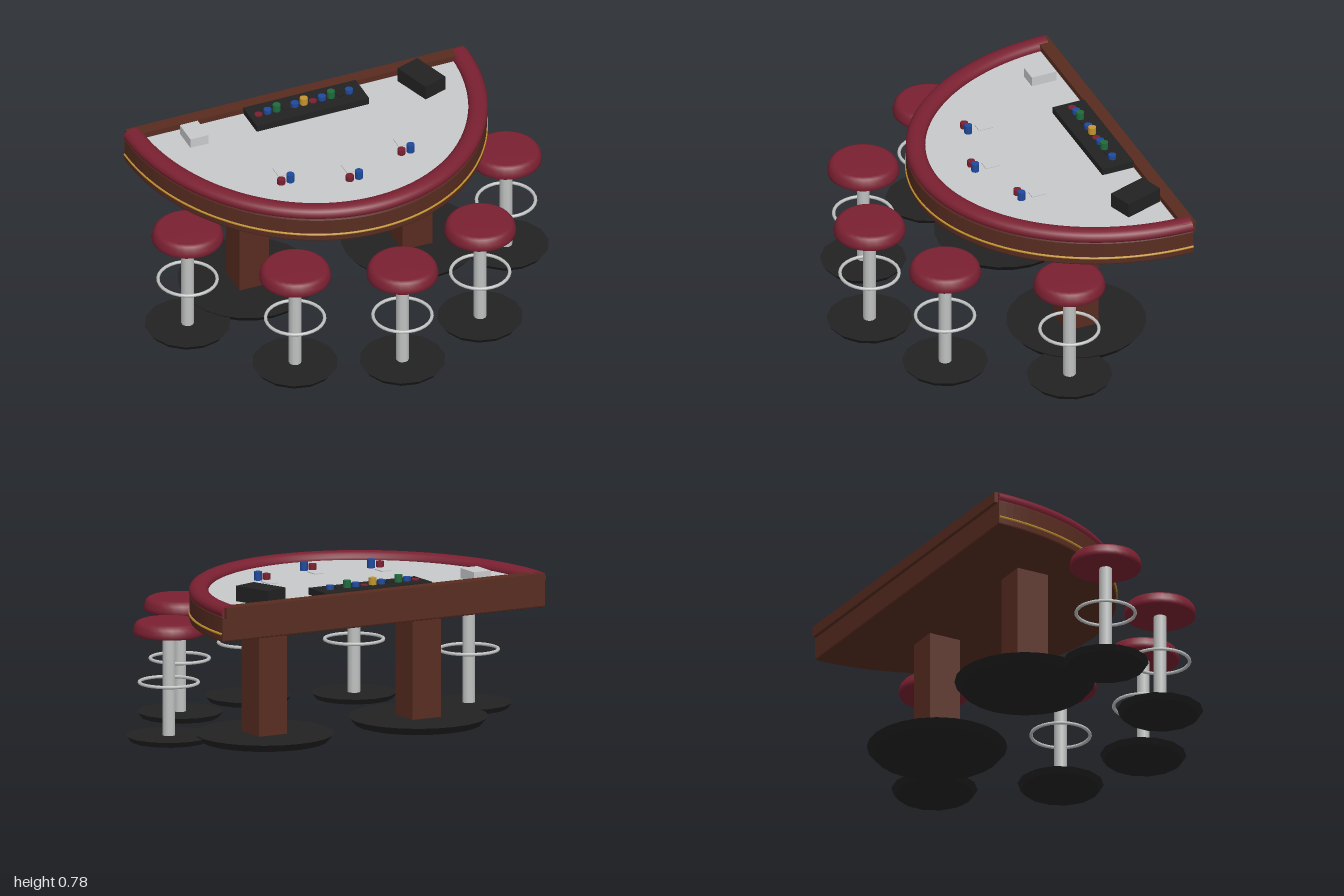
import * as THREE from 'three';

const mat = (name, color, side = THREE.FrontSide) => {
  const m = new THREE.MeshStandardMaterial({ color, side });
  m.name = name;
  return m;
};

export function createModel() {
  const root = new THREE.Group();
  root.name = 'cardTableWithStools';
  const leather = mat('red leather', 0x7a2031);
  const wood = mat('dark wood', 0x582c20);
  const felt = mat('pale felt', 0xc8c9cb);
  const black = mat('black', 0x222222);
  const chrome = mat('chrome', 0xc0c2c2);
  const gold = mat('gold', 0xc4952f);
  const blue = mat('blue', 0x1f4a9c);
  const green = mat('green', 0x1f6b3c);

  const add = (parent, name, geo, material, x = 0, y = 0, z = 0) => {
    const m = new THREE.Mesh(geo, material);
    m.name = name;
    m.position.set(x, y, z);
    parent.add(m);
    return m;
  };

  // Half-ellipse table outline, straight along the back
  const BACK = -0.72;
  const halfOval = (rx, rz, z0 = BACK) => {
    const s = new THREE.Shape();
    s.absellipse(0, z0, rx, rz, 0, Math.PI, false, 0);
    s.closePath();
    return s;
  };
  const slab = (shape, depth, bevel = 0) => {
    const g = new THREE.ExtrudeGeometry(shape, {
      depth: depth - 2 * bevel, curveSegments: 40, bevelEnabled: bevel > 0,
      bevelSize: bevel, bevelThickness: bevel, bevelOffset: -bevel, bevelSegments: 2,
    });
    return g.rotateX(Math.PI / 2).translate(0, -bevel, 0);
  };
  const ovalPath = (rx, rz) => new THREE.CatmullRomCurve3(
    new THREE.EllipseCurve(0, BACK, rx, rz, 0, Math.PI).getPoints(48)
      .map(p => new THREE.Vector3(p.x, 0, p.y)));

  // Table top
  const table = new THREE.Group();
  table.name = 'table';
  root.add(table);
  add(table, 'apron', slab(halfOval(0.86, 1.0), 0.125, 0.008), wood, 0, 0.692, 0);
  add(table, 'feltSurface', slab(halfOval(0.80, 0.93), 0.012), felt, 0, 0.703, 0);
  add(table, 'goldTrim', new THREE.TubeGeometry(ovalPath(0.86, 1.0), 72, 0.006, 6), gold, 0, 0.605, 0);
  const railFlat = 0.033 / 0.046;
  add(table, 'armRail', new THREE.TubeGeometry(ovalPath(0.82, 0.955), 72, 0.046, 14)
    .scale(1, railFlat, 1), leather, 0, 0.707, 0);
  for (const s of [-1, 1]) {
    add(table, 'railEnd', new THREE.CircleGeometry(0.046, 14).scale(1, railFlat, 1)
      .rotateY(Math.PI), leather, s * 0.82, 0.707, BACK);
  }
  add(table, 'backBoard', new THREE.BoxGeometry(1.70, 0.052, 0.063), wood, 0, 0.705, -0.707);

  // Pedestals
  for (const s of [-1, 1]) {
    add(table, 'tableFoot', new THREE.CylinderGeometry(0.325, 0.295, 0.035, 24), black, s * 0.41, 0.0175, -0.328);
    add(table, 'tableLeg', new THREE.BoxGeometry(0.15, 0.54, 0.16), wood, s * 0.41, 0.305, -0.328);
  }

  // Stools around the curved edge
  const seatProfile = [[0, 0], [0.158, 0], [0.166, 0.006], [0.166, 0.022], [0.160, 0.045],
    [0.150, 0.058], [0.135, 0.065], [0, 0.067]].map(p => new THREE.Vector2(...p));
  const seatGeo = new THREE.LatheGeometry(seatProfile, 28);
  const postGeo = new THREE.CylinderGeometry(0.03, 0.03, 0.48, 10);
  const footGeo = new THREE.CylinderGeometry(0.2, 0.18, 0.026, 14);
  const ringGeo = new THREE.TorusGeometry(0.137, 0.008, 8, 28).rotateX(Math.PI / 2);
  for (const [x, z] of [[-0.8, -0.12], [-0.465, 0.36], [0, 0.535], [0.465, 0.36], [0.8, -0.12]]) {
    const stool = new THREE.Group();
    stool.name = 'stool';
    stool.position.set(x, 0, z);
    root.add(stool);
    add(stool, 'seat', seatGeo, leather, 0, 0.5, 0);
    add(stool, 'post', postGeo, chrome, 0, 0.265, 0);
    add(stool, 'footRing', ringGeo, chrome, 0, 0.275, 0);
    add(stool, 'stoolFoot', footGeo, black, 0, 0.013, 0);
  }

  // Chip stacks
  const chips = (material, x, z, bottom, top) => add(table, 'chipStack',
    new THREE.CylinderGeometry(0.019, 0.019, top - bottom, 10), material, x, (top + bottom) / 2, z);

  // Dealer's tray with a row of chips
  add(table, 'chipTray', new THREE.BoxGeometry(0.565, 0.035, 0.16), black, 0, 0.718, -0.597);
  const row = [leather, blue, green, black, blue, gold];
  for (let i = 0; i < 11; i++) {
    chips(row[i % 6], -0.24 + i * 0.0455, -0.597, 0.72, 0.741 + (i % 3) * 0.014);
  }

  // Bets and cards at the three playing spots
  for (const [x, z] of [[-0.317, -0.095], [-0.015, 0.004], [0.287, -0.095]]) {
    chips(leather, x - 0.023, z, 0.70, 0.73);
    chips(blue, x + 0.023, z, 0.70, 0.744);
    add(table, 'card', new THREE.BoxGeometry(0.05, 0.004, 0.07), felt, x + 0.01, 0.706, z - 0.085);
  }

  // Card shoe and discard holder
  const shoe = add(table, 'cardShoe', new THREE.BoxGeometry(0.122, 0.075, 0.197), black, 0.563, 0.738, -0.56);
  shoe.rotation.y = 0.32;
  add(table, 'discardHolder', new THREE.BoxGeometry(0.09, 0.05, 0.125), felt, -0.57, 0.726, -0.582);

  return root;
}
